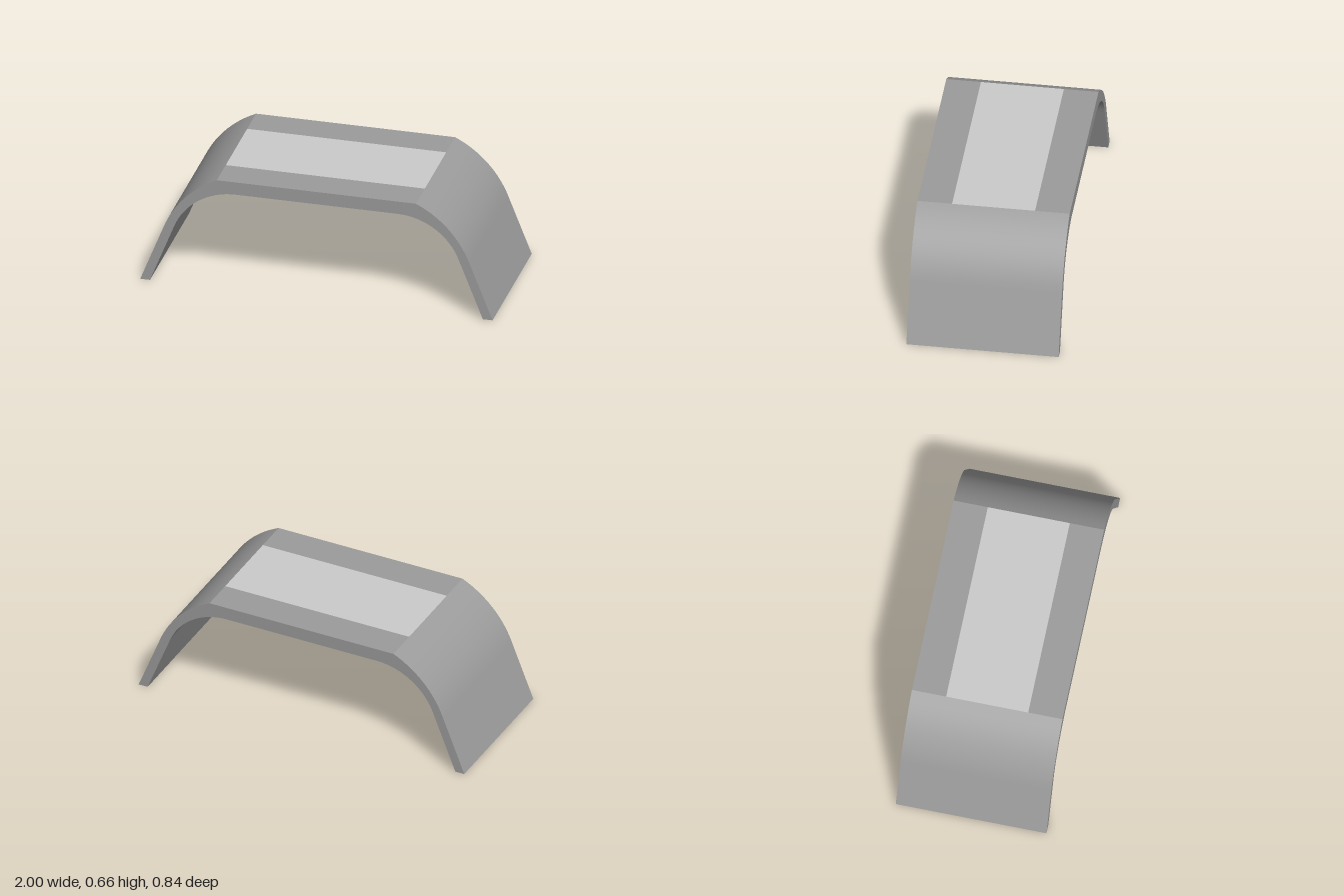
import * as THREE from 'three';

const HALF_DEPTH = 0.422, PANEL_HALF = 0.23;
const dark = new THREE.MeshStandardMaterial({ color: 0x9c9c9c });
const light = new THREE.MeshStandardMaterial({ color: 0xcccccc });

// Points along a circular arc, angles in degrees
function arc(cx, cy, r, a0, a1, n = 16) {
  return Array.from({ length: n + 1 }, (_, i) => {
    const a = THREE.MathUtils.degToRad(a0 + (a1 - a0) * i / n);
    return [cx + r * Math.cos(a), cy + r * Math.sin(a)];
  });
}

// Sheet swept along z from a line of (x, y) points, facing right of the direction of travel
function sheet(name, points, z0, z1, material = dark) {
  const position = [], index = [];
  points.forEach(([x, y], i) => {
    position.push(x, y, z0, x, y, z1);
    const a = 2 * i;
    if (i < points.length - 1) index.push(a, a + 2, a + 1, a + 1, a + 2, a + 3);
  });
  const geometry = new THREE.BufferGeometry();
  geometry.setAttribute('position', new THREE.Float32BufferAttribute(position, 3));
  geometry.setIndex(index);
  geometry.computeVertexNormals();
  const mesh = new THREE.Mesh(geometry, material);
  mesh.name = name;
  return mesh;
}

// Mirror a run across x = 0, keeping its facing
const flip = points => points.map(([x, y]) => [-x, y]).reverse();

export function createModel() {
  const group = new THREE.Group();
  group.name = 'archedBench';

  // Section of the left half: outer and inner shoulder arcs
  const outer = arc(0.317, 0.126, 0.589, 21.5, 65.1);
  const inner = arc(0.46, 0.212, 0.373, 90, 20);
  const outerTop = outer[outer.length - 1], innerTop = inner[0];
  const innerLow = inner[inner.length - 1];

  // Legs, shoulders and feet on both sides
  const runs = {
    OuterLeg: [[1, 0], outer[0]],
    OuterShoulder: outer,
    InnerShoulder: inner,
    InnerLeg: [innerLow, [0.945, 0]],
    Foot: [[0.945, 0], [1, 0]],
  };
  for (const [name, points] of Object.entries(runs)) {
    group.add(sheet('left' + name, points, -HALF_DEPTH, HALF_DEPTH));
    group.add(sheet('right' + name, flip(points), -HALF_DEPTH, HALF_DEPTH));
  }

  // Flat deck: a light centre panel between two darker borders, above and below
  const top = [outerTop, [-outerTop[0], outerTop[1]]];
  const under = [[-innerTop[0], innerTop[1]], innerTop];
  const bands = [
    ['backBorder', -HALF_DEPTH, -PANEL_HALF, dark],
    ['centrePanel', -PANEL_HALF, PANEL_HALF, light],
    ['frontBorder', PANEL_HALF, HALF_DEPTH, dark],
  ];
  for (const [name, z0, z1, material] of bands) {
    group.add(sheet(name + 'Top', top, z0, z1, material));
    group.add(sheet(name + 'Underside', under, z0, z1, material));
  }

  // Front and back edge faces
  const outerHalf = [[1, 0], ...outer];
  const innerHalf = [...inner, [0.945, 0]];
  const outline = [...outerHalf, ...flip(outerHalf), ...flip(innerHalf), ...innerHalf];
  const face = new THREE.ShapeGeometry(
    new THREE.Shape(outline.map(([x, y]) => new THREE.Vector2(x, y))));
  for (const side of [1, -1]) {
    const edge = new THREE.Mesh(face, dark);
    edge.name = side > 0 ? 'frontEdge' : 'backEdge';
    edge.position.z = side * HALF_DEPTH;
    if (side < 0) edge.rotation.y = Math.PI;
    group.add(edge);
  }
  return group;
}
